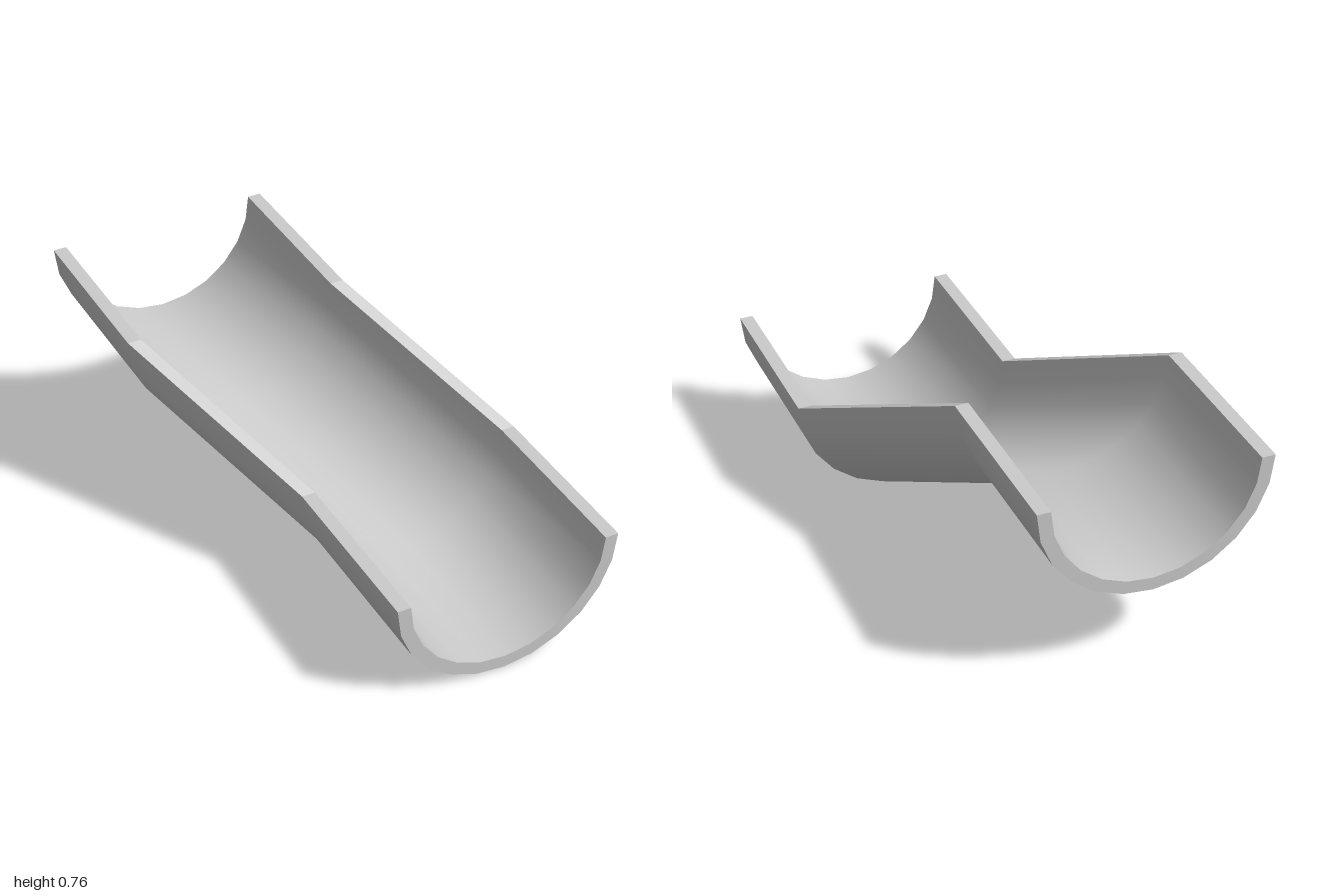
import * as THREE from 'three';

const SIDES = 12, OUTER = 0.423, INNER = 0.374;
// Centre of the half-round section at each station, front to back
const stations = [
  [0.165, 0.423, 1], [0.165, 0.423, 0.333],
  [-0.168, 0.757, -0.333], [-0.168, 0.757, -1],
];

// Half-circle from the -x lip, under the bottom, to the +x lip
function arc([cx, cy, z], radius) {
  const points = [];
  for (let j = 0; j <= SIDES; j++) {
    const a = Math.PI * (1 + j / SIDES);
    points.push([cx + radius * Math.cos(a), cy + radius * Math.sin(a), z]);
  }
  return points;
}

// Surface over rows of points; it faces column direction x row direction
function sheet(rows, smooth) {
  const n = rows[0].length, index = [];
  for (let i = 0; i < rows.length - 1; i++) {
    for (let j = 0; j < n - 1; j++) {
      const a = i * n + j, b = a + 1, c = a + n, d = c + 1;
      index.push(a, b, c, b, d, c);
    }
  }
  let geometry = new THREE.BufferGeometry();
  geometry.setAttribute('position', new THREE.Float32BufferAttribute(rows.flat(2), 3));
  geometry.setIndex(index);
  if (!smooth) geometry = geometry.toNonIndexed();
  geometry.computeVertexNormals();
  return geometry;
}

export function createModel() {
  const group = new THREE.Group();
  group.name = 'halfPipe';
  const material = new THREE.MeshStandardMaterial({ color: 0xcccccc });
  const add = (name, rows, smooth = false) => {
    const mesh = new THREE.Mesh(sheet(rows, smooth), material);
    mesh.name = name;
    group.add(mesh);
  };

  const outer = stations.map((s) => arc(s, OUTER));
  const inner = stations.map((s) => arc(s, INNER));
  const last = stations.length - 1;

  // Channel walls
  add('innerWall', inner, true);
  add('outerWall', outer.map((row) => [...row].reverse()), true);

  // Flat lips along the open top
  add('rightLip', stations.map((_, i) => [outer[i][0], inner[i][0]]));
  add('leftLip', stations.map((_, i) => [inner[i][SIDES], outer[i][SIDES]]));

  // Flat end faces
  add('frontEnd', [outer[0], inner[0]]);
  add('backEnd', [inner[last], outer[last]]);

  return group;
}
